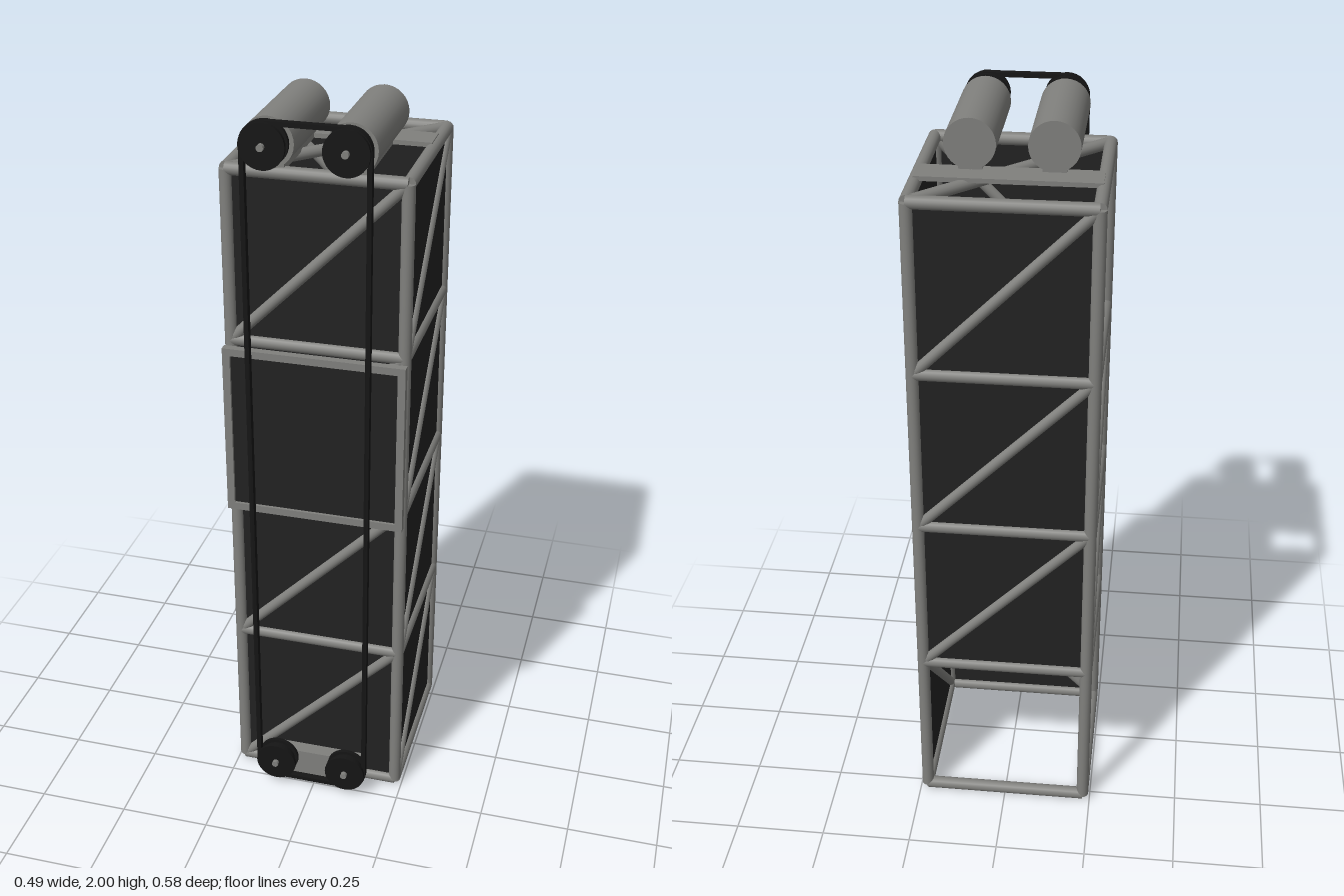
import * as THREE from 'three';

export function createModel() {
  const model = new THREE.Group();
  const mat = (name, color) => {
    const m = new THREE.MeshStandardMaterial({ color });
    m.name = name;
    return m;
  };
  const steel = mat('steel grey', 0x80807d);
  const panelMat = mat('panel charcoal', 0x222222);
  const rubber = mat('rubber black', 0x151515);

  const group = (name, parent = model) => {
    const g = new THREE.Group();
    g.name = name;
    parent.add(g);
    return g;
  };
  const add = (parent, name, geometry, material, x = 0, y = 0, z = 0) => {
    const m = new THREE.Mesh(geometry, material);
    m.name = name;
    m.position.set(x, y, z);
    parent.add(m);
    return m;
  };
  const box = (parent, name, material, x0, x1, y0, y1, z0, z1) =>
    add(parent, name, new THREE.BoxGeometry(x1 - x0, y1 - y0, z1 - z0), material,
      (x0 + x1) / 2, (y0 + y1) / 2, (z0 + z1) / 2);
  // round bar between two points
  const bar = (parent, name, a, b, r) => {
    const dir = b.clone().sub(a);
    const m = add(parent, name, new THREE.CylinderGeometry(r, r, dir.length(), 16), steel);
    m.position.copy(a).add(b).multiplyScalar(0.5);
    m.quaternion.setFromUnitVectors(new THREE.Vector3(0, 1, 0), dir.normalize());
  };
  // cylinder lying along z
  const disc = (parent, name, material, x, y, z0, z1, r) =>
    add(parent, name, new THREE.CylinderGeometry(r, r, z1 - z0, 32).rotateX(Math.PI / 2),
      material, x, y, (z0 + z1) / 2);

  // Tower: four corner posts, four faces of four bays
  const R = 0.017, H = 0.229, ZF = 0.183, ZB = -0.275;
  const corners = [[-H, ZF], [H, ZF], [H, ZB], [-H, ZB]];
  const levels = [0.018, 0.476, 0.934, 1.391, 1.848];
  const node = (corner, level) =>
    new THREE.Vector3(corners[corner % 4][0], levels[level], corners[corner % 4][1]);
  const faceNames = ['front', 'right', 'back', 'left'];
  const closed = [[0, 1, 2, 3], [0, 1, 2, 3], [1, 2, 3], [1, 2]]; // bays with panel and brace

  for (let f = 0; f < 4; f++) {
    const face = group(faceNames[f] + 'Face');
    bar(face, 'cornerPost', node(f, 0), node(f, 4), R);
    for (let l = 0; l < 5; l++) bar(face, 'crossBar', node(f, l), node(f + 1, l), R);
    for (const bay of closed[f]) {
      const a = node(f, bay), b = node(f + 1, bay + 1);
      bar(face, 'diagonalBrace', a, b, R * 0.9);
      const panel = add(face, 'panel',
        new THREE.BoxGeometry(2 * H, levels[bay + 1] - levels[bay], 0.008), panelMat);
      panel.position.copy(a).add(b).multiplyScalar(0.5);
      panel.rotation.y = f * Math.PI / 2;
    }
  }

  // Roof brace and motor mount
  const roof = group('roof');
  bar(roof, 'roofBrace', node(0, 4), node(2, 4), R * 0.9);
  box(roof, 'motorMountPlate', steel, -0.23, 0.23, 1.856, 1.868, -0.16, -0.075);

  // Framed cover on the front
  const cover = group('frontCover');
  const [x0, x1, y0, y1, z0, z1, w] = [-0.234, 0.246, 0.916, 1.392, 0.228, 0.249, 0.02];
  box(cover, 'coverSideRail', steel, x0, x0 + w, y0, y1, z0, z1);
  box(cover, 'coverSideRail', steel, x1 - w, x1, y0, y1, z0, z1);
  box(cover, 'coverBottomRail', steel, x0 + w, x1 - w, y0, y0 + w, z0, z1);
  box(cover, 'coverTopRail', steel, x0 + w, x1 - w, y1 - w, y1, z0, z1);
  box(cover, 'coverPanel', panelMat, x0 + w, x1 - w, y0 + w, y1 - w, 0.233, 0.241);

  // Motors, pulleys and idler mount
  const drive = group('beltDrive');
  const pulleyX = [-0.107, 0.099], topY = 1.94, lowY = 0.08;
  for (const x of pulleyX) {
    disc(drive, 'motor', steel, x, 1.934, -0.105, 0.222, 0.0645);
    box(drive, 'motorFoot', steel, x - 0.03, x + 0.03, 1.856, 1.885, -0.1, 0.19);
    for (const y of [topY, lowY]) {
      const pulley = group('pulley', drive);
      disc(pulley, 'pulleyShaft', steel, x, y, 0.215, 0.289, 0.009);
      disc(pulley, 'rearFlange', rubber, x, y, 0.238, 0.248, 0.058);
      disc(pulley, 'pulleyHub', rubber, x, y, 0.246, 0.27, 0.049);
      disc(pulley, 'frontFlange', rubber, x, y, 0.267, 0.277, 0.058);
    }
  }
  box(drive, 'idlerMount', steel, -0.14, 0.132, 0.015, 0.1, 0.198, 0.236);

  // Belt around the four pulleys
  const loop = (path, r) => {
    const [l, q] = pulleyX;
    path.absarc(q, lowY, r, -Math.PI / 2, 0);
    path.absarc(q, topY, r, 0, Math.PI / 2);
    path.absarc(l, topY, r, Math.PI / 2, Math.PI);
    path.absarc(l, lowY, r, Math.PI, Math.PI * 1.5);
    path.closePath();
    return path;
  };
  const beltShape = loop(new THREE.Shape(), 0.06);
  beltShape.holes.push(loop(new THREE.Path(), 0.048));
  add(drive, 'belt', new THREE.ExtrudeGeometry(beltShape,
    { depth: 0.018, bevelEnabled: false, curveSegments: 10 }), rubber, 0, 0, 0.249);

  return model;
}
